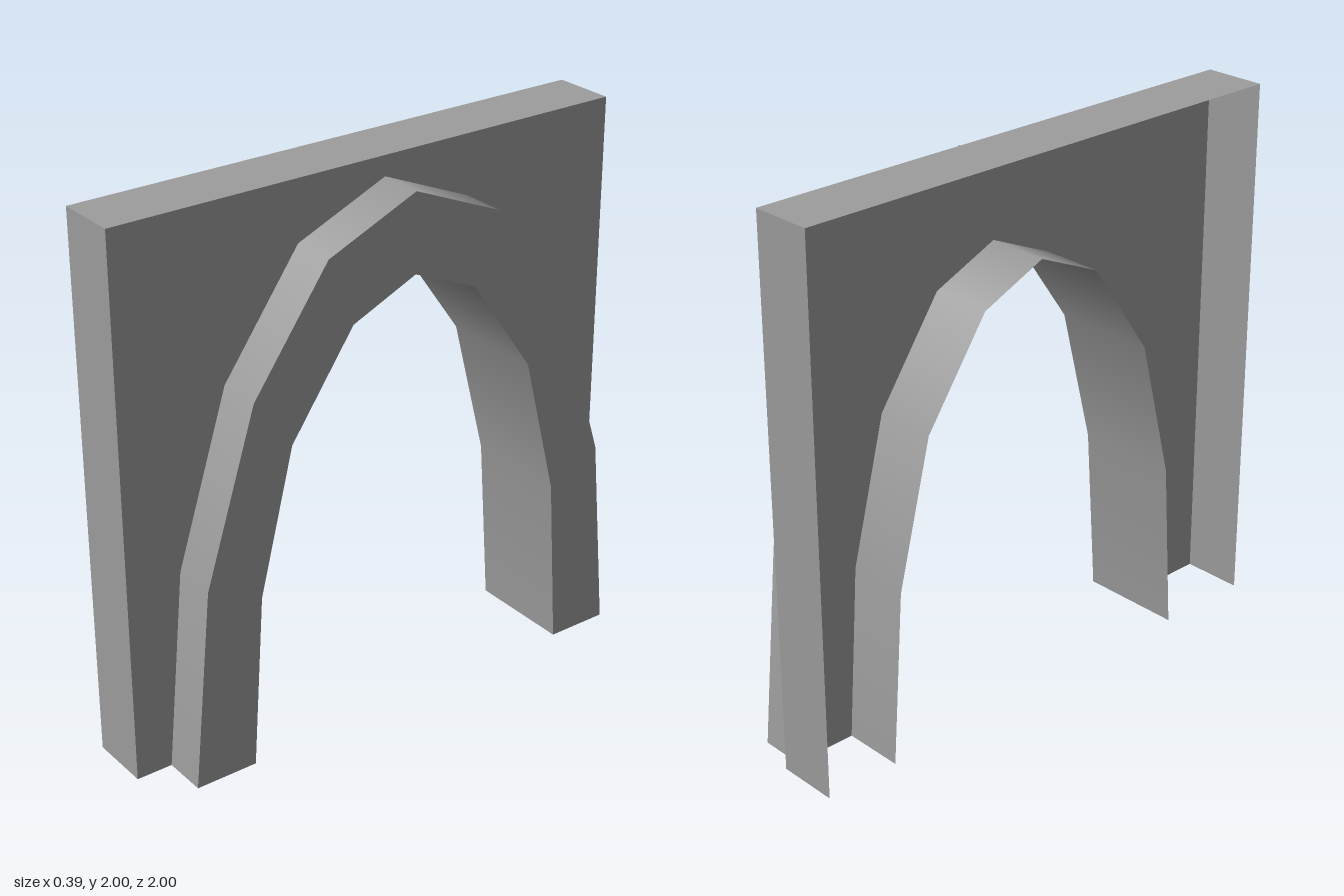
import * as THREE from 'three';

const material = new THREE.MeshStandardMaterial({ color: 0x9d9d9d, side: THREE.DoubleSide });

// Depth planes: open back of the wall, wall face, trim face
const BACK = -0.2, WALL = 0.03, TRIM = 0.195;
const CENTRE = 0.043; // the arch sits slightly off the middle of the wall

// Half profiles [half width, height] from the foot to the crown
const INNER = [[0.673, 0], [0.63, 0.645], [0.498, 1.172], [0.251, 1.53], [0, 1.64]];
const OUTER = [[0.908, 0], [0.838, 0.742], [0.642, 1.365], [0.347, 1.78], [0, 1.927]];

// Mirror a half profile into a full arch running from left to right
function arch(half) {
  const left = half.map(([w, y]) => new THREE.Vector2(CENTRE - w, y));
  const right = half.slice(0, -1).reverse().map(([w, y]) => new THREE.Vector2(CENTRE + w, y));
  return [...left, ...right];
}

// Sweep an open outline straight through the depth, with smooth normals
function band(points, near, far) {
  const positions = [], normals = [], index = [];
  const last = points.length - 1;
  points.forEach((p, i) => {
    const along = points[Math.min(i + 1, last)].clone().sub(points[Math.max(i - 1, 0)]).normalize();
    positions.push(p.x, p.y, near, p.x, p.y, far);
    normals.push(-along.y, along.x, 0, -along.y, along.x, 0);
    const a = i * 2;
    if (i < last) index.push(a, a + 1, a + 2, a + 1, a + 3, a + 2);
  });
  const geometry = new THREE.BufferGeometry();
  geometry.setAttribute('position', new THREE.Float32BufferAttribute(positions, 3));
  geometry.setAttribute('normal', new THREE.Float32BufferAttribute(normals, 3));
  geometry.setIndex(index);
  return geometry;
}

// Flat face between an outer outline and the arch opening
function face(outline, opening, depth) {
  const shape = new THREE.Shape([...outline, ...[...opening].reverse()]);
  return new THREE.ShapeGeometry(shape).translate(0, 0, depth);
}

export function createModel() {
  const group = new THREE.Group();
  group.name = 'archway';
  const add = (name, geometry) => {
    // Turn the drawing plane so that the arch faces +x
    const mesh = new THREE.Mesh(geometry.rotateY(Math.PI / 2), material);
    mesh.name = name;
    group.add(mesh);
  };

  const inner = arch(INNER), outer = arch(OUTER);
  const frame = [[-1, 0], [-1, 2], [1, 2], [1, 0]].map(([u, y]) => new THREE.Vector2(u, y));

  // Hollow wall, open at the back and bottom, with sharp corners
  add('wallFace', face(frame, inner, WALL));
  ['wallSideA', 'wallTop', 'wallSideB'].forEach((name, i) => {
    add(name, band(frame.slice(i, i + 2), BACK, WALL));
  });

  // Raised trim around the opening
  add('trimFace', face(outer, inner, TRIM));
  add('trimOuterBand', band(outer, WALL, TRIM));

  // Lining of the opening through wall and trim
  add('archLining', band([...inner].reverse(), BACK, TRIM));

  return group;
}
